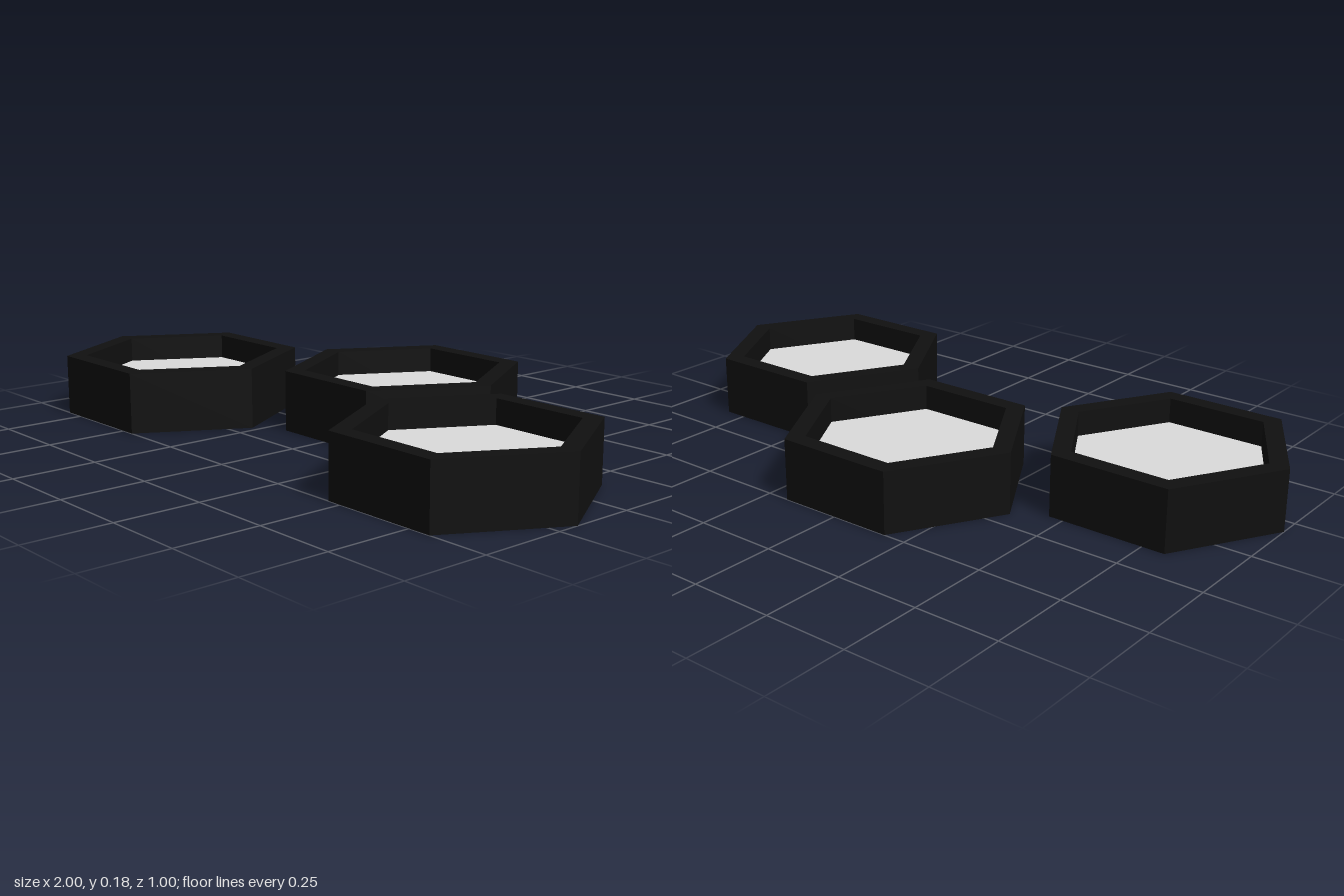
import * as THREE from 'three';

const HEIGHT = 0.183, PANEL_Y = 0.108, OUTER = 0.363, INNER = 0.303;

// Six corners, with points along x
function hexagon(radius, Type) {
  const points = [];
  for (let i = 0; i < 6; i++) {
    const a = (i * Math.PI) / 3;
    points.push(new THREE.Vector2(radius * Math.cos(a), radius * Math.sin(a)));
  }
  return new Type(points);
}

// Hexagon prism from y = 0 up to the given height
function prism(shape, height) {
  const geometry = new THREE.ExtrudeGeometry(shape, { depth: height, bevelEnabled: false });
  return geometry.rotateX(-Math.PI / 2);
}

export function createModel() {
  const black = new THREE.MeshStandardMaterial({ name: 'black', color: 0x101010 });
  const lightGrey = new THREE.MeshStandardMaterial({ name: 'lightGrey', color: 0xdcdcdc });

  // Hollow wall, closed floor and recessed light panel
  const wallShape = hexagon(OUTER, THREE.Shape);
  wallShape.holes.push(hexagon(INNER, THREE.Path));
  const wallGeometry = prism(wallShape, HEIGHT);
  const floorGeometry = prism(hexagon(INNER, THREE.Shape), PANEL_Y - 0.005);
  const panelGeometry = prism(hexagon(INNER, THREE.Shape), 0.005);

  const model = new THREE.Group();
  model.name = 'hexagonTiles';
  const tiles = [['rightTile', -0.637, 0.185], ['middleTile', 0, -0.185], ['leftTile', 0.637, 0.185]];
  for (const [name, x, z] of tiles) {
    const tile = new THREE.Group();
    tile.name = name;
    tile.position.set(x, 0, z);
    const wall = new THREE.Mesh(wallGeometry, black);
    wall.name = 'wall';
    const floor = new THREE.Mesh(floorGeometry, black);
    floor.name = 'floor';
    const panel = new THREE.Mesh(panelGeometry, lightGrey);
    panel.name = 'panel';
    panel.position.y = PANEL_Y - 0.005;
    tile.add(wall, floor, panel);
    model.add(tile);
  }
  return model;
}
